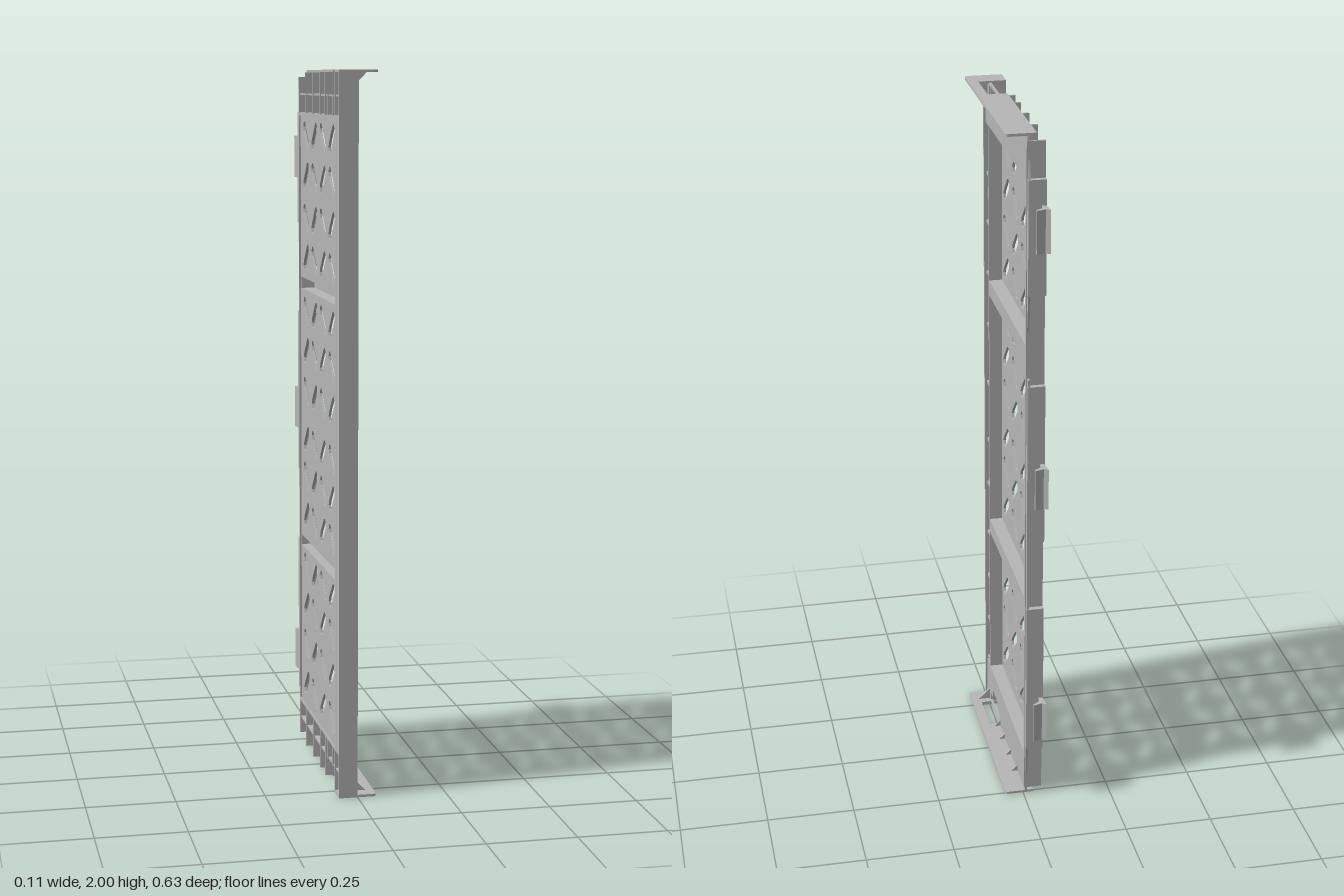
import * as THREE from 'three';

const grey = new THREE.MeshStandardMaterial({ color: 0xb6b6b6 });
grey.name = 'grey plastic';

const BACK = -0.053, FACE = -0.005;          // depth range of the moulded frame
const LOW = 0.13, HIGH = 1.88;               // grille opening

export function createModel() {
  const model = new THREE.Group();
  model.name = 'ventedPanel';

  function add(name, geometry) {
    const mesh = new THREE.Mesh(geometry, grey);
    mesh.name = name;
    model.add(mesh);
    return mesh;
  }
  // box from its limits
  function box(name, x0, x1, y0, y1, z0, z1) {
    const g = new THREE.BoxGeometry(x1 - x0, y1 - y0, z1 - z0);
    g.translate((x0 + x1) / 2, (y0 + y1) / 2, (z0 + z1) / 2);
    return add(name, g);
  }
  const outline = pts => new THREE.Shape(pts.map(p => new THREE.Vector2(p[0], p[1])));
  // outline in (z, y), thickness along x
  function sheet(name, shape, x0, x1) {
    const g = new THREE.ExtrudeGeometry(shape, { depth: x1 - x0, bevelEnabled: false, curveSegments: 4 });
    g.rotateY(-Math.PI / 2);
    g.translate(x1, 0, 0);
    return add(name, g);
  }
  // outline in (x, z), thickness along y
  function plate(name, shape, y0, y1) {
    const g = new THREE.ExtrudeGeometry(shape, { depth: y1 - y0, bevelEnabled: false, curveSegments: 4 });
    g.rotateX(Math.PI / 2);
    g.translate(0, y1, 0);
    return add(name, g);
  }
  // round-ended diagonal slot
  function slot(z, y, angle) {
    const half = 0.034, r = 0.016, pts = [];
    for (let i = 0; i < 10; i++) {
      const side = i < 5 ? 1 : -1;
      const a = -Math.PI / 2 + (i % 5) * Math.PI / 4 + (side < 0 ? Math.PI : 0);
      const u = side * half + r * Math.cos(a), v = r * Math.sin(a);
      pts.push(new THREE.Vector2(
        z + u * Math.cos(angle) - v * Math.sin(angle),
        y + u * Math.sin(angle) + v * Math.cos(angle)));
    }
    return new THREE.Path(pts);
  }

  // three recessed grilles with a lattice of slots
  const columns = [0.2, 0.078, -0.042, -0.163];
  const grilles = [
    { y0: 1.41, y1: HIGH, rows: [1.815, 1.7, 1.58, 1.465] },
    { y0: 0.642, y1: 1.365, rows: [1.31, 1.195, 1.075, 0.935, 0.825, 0.71] },
    { y0: LOW, y1: 0.6, rows: [0.55, 0.44, 0.32, 0.2] },
  ];
  for (const { y0, y1, rows } of grilles) {
    const s = outline([[-0.237, y0], [0.265, y0], [0.265, y1], [-0.237, y1]]);
    rows.forEach((y, r) => columns.forEach((z, c) =>
      s.holes.push(slot(z, y, (r + c) % 2 ? -Math.PI / 4 : Math.PI / 4))));
    sheet('grille', s, -0.05, -0.043);
  }

  // hollow crossbars between the grilles
  for (const [y0, y1] of [[1.365, 1.41], [0.6, 0.642]]) {
    box('crossbarFace', -0.011, FACE, y0, y1, -0.237, 0.265);
    box('crossbarLowerWall', -0.05, -0.011, y0, y0 + 0.006, -0.237, 0.265);
    box('crossbarUpperWall', -0.05, -0.011, y1 - 0.006, y1, -0.237, 0.265);
  }

  // front edge: ribbed channel open on the outer side
  box('frontWall', BACK, 0, 0.004, 1.996, 0.308, 0.316);
  box('channelBack', BACK, -0.047, LOW, HIGH, 0.27, 0.308);
  box('channelInnerWall', BACK, FACE, LOW, HIGH, 0.262, 0.27);
  for (const y of [0.14, 0.28, 0.43, 0.58, 0.745, 0.89, 1.075, 1.26, 1.42, 1.575, 1.72, 1.87])
    box('channelRib', -0.047, -0.007, y - 0.004, y + 0.004, 0.27, 0.308);

  // rear edge: stepped frame with an uneven lip
  box('rearInnerWall', -0.05, FACE, LOW, HIGH, -0.243, -0.236);
  sheet('rearFrameFace', outline([
    [-0.236, 0.07], [-0.236, 1.93], [-0.262, 1.93], [-0.274, 1.88], [-0.274, 1.56], [-0.256, 1.4],
    [-0.256, 1.32], [-0.274, 1.32], [-0.274, 0.16], [-0.262, 0.07]]), -0.011, FACE);
  box('rearSkirt', BACK, -0.002, 0.02, 1.98, -0.262, -0.256);
  for (const [y0, y1] of [[1.56, 1.88], [0.83, 1.3], [0.16, 0.62]])
    box('rearLip', BACK, -0.004, y0, y1, -0.277, -0.262);

  // flared hooks on the rear edge
  const hook = outline([
    [-0.05, -0.274], [-0.04, -0.274], [-0.038, -0.296], [-0.018, -0.31],
    [-0.018, -0.318], [-0.032, -0.313], [-0.043, -0.309], [-0.055, -0.318], [-0.055, -0.308]]);
  for (const y of [0.27, 1.01, 1.75]) plate('hook', hook, y - 0.06, y + 0.06);

  // top and bottom ends, mirrored by the height rule
  for (const top of [true, false]) {
    const h = v => top ? 2 - v : v;
    const span = (a, b) => top ? [2 - b, 2 - a] : [a, b];
    const name = part => (top ? 'top' : 'bottom') + part;

    // end wall with a stepped opening
    const wall = outline([
      [-0.258, h(0.004)], [0.31, h(0.004)], [0.31, h(0.13)], [-0.236, h(0.13)], [-0.262, h(0.09)]]);
    wall.holes.push(new THREE.Path([
      [0.12, 0.012], [0.255, 0.012], [0.255, 0.037], [0.225, 0.037],
      [0.225, 0.065], [0.145, 0.065], [0.145, 0.037], [0.12, 0.037],
    ].map(p => new THREE.Vector2(p[0], h(p[1])))));
    sheet(name('Wall'), wall, -0.011, FACE);

    // projecting flange, notched above the opening
    const f = new THREE.Shape();
    f.moveTo(BACK, 0.316);
    f.lineTo(0.043, 0.316);
    f.quadraticCurveTo(0.053, 0.316, 0.053, 0.306);
    f.lineTo(0.053, -0.247);
    f.quadraticCurveTo(0.053, -0.257, 0.043, -0.257);
    for (const [x, z] of [[-0.03, -0.257], [-0.03, 0.12], [0.025, 0.12], [0.025, 0.252], [BACK, 0.252]])
      f.lineTo(x, z);
    plate(name('Flange'), f, ...span(0, 0.007));

    // ledge and rear pocket ribs
    box(name('Ledge'), BACK, -0.008, ...span(0.122, 0.13), -0.256, 0.308);
    for (const z of [-0.16, -0.052, 0.053, 0.125, 0.155, 0.222, 0.258]) {
      const open = z > 0.13 && z < 0.25;
      box(name('PocketRib'), BACK, -0.011, ...span(open ? 0.065 : 0.007, 0.122), z - 0.003, z + 0.003);
    }
    box(name('PocketShelf'), BACK + 0.003, -0.011, ...span(0.066, 0.071), -0.256, 0.308);

    // small gussets under the flange
    for (const z of [0.272, 0.105, 0.03, -0.06, -0.15]) {
      const d = z > 0.2 ? 0.035 : 0.018;
      const g = new THREE.ExtrudeGeometry(
        outline([[FACE, h(0.007)], [FACE + d, h(0.007)], [FACE, h(0.007 + d)]]),
        { depth: 0.005, bevelEnabled: false });
      g.translate(0, 0, z);
      add(name('Gusset'), g);
    }
  }
  return model;
}
